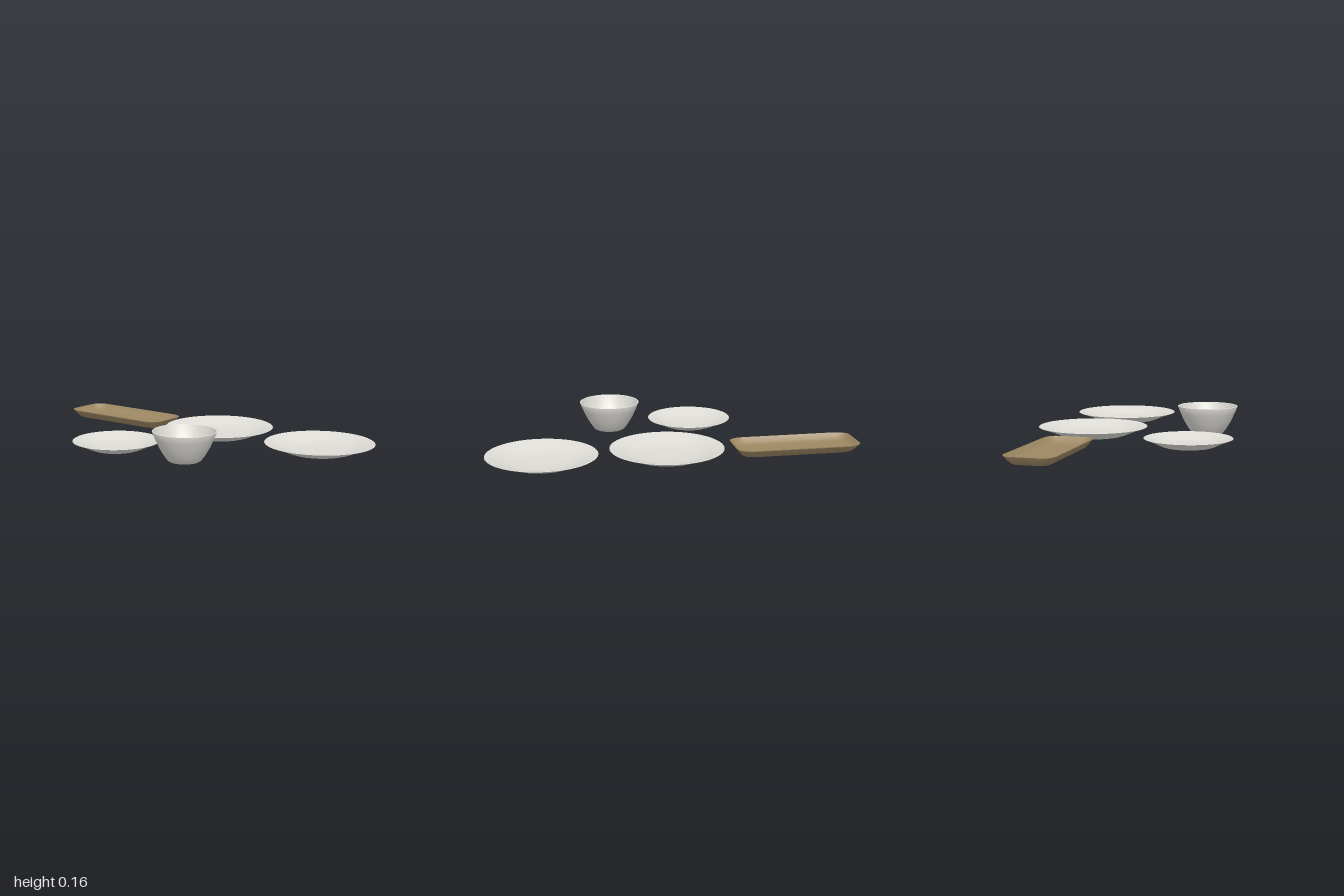
import * as THREE from 'three';
import { toCreasedNormals } from 'three/addons/utils/BufferGeometryUtils.js';

const ceramic = new THREE.MeshStandardMaterial({ color: 0xdddbd5 });
ceramic.name = 'pale ceramic';
const wood = new THREE.MeshStandardMaterial({ color: 0x9c8762 });
wood.name = 'tan wood';

// Turned dish: profile runs from the underside centre, over the rim, to the inside centre
function turned(name, profile, x, z, crease) {
  const pts = profile.map(([r, y]) => new THREE.Vector2(r, y));
  const mesh = new THREE.Mesh(toCreasedNormals(new THREE.LatheGeometry(pts, 64), crease), ceramic);
  mesh.name = name;
  mesh.position.set(x, 0, z);
  return mesh;
}

// Shallow plate with a flat foot and a wide sloping rim
function plate(name, x, z, r, h) {
  return turned(name, [
    [0, 0], [0.56 * r, 0], [0.64 * r, 0.15 * h], [0.8 * r, 0.55 * h], [0.99 * r, 0.93 * h],
    [r, 0.97 * h], [0.992 * r, h],
    [0.8 * r, 0.7 * h], [0.66 * r, 0.4 * h], [0.54 * r, 0.24 * h], [0.3 * r, 0.19 * h], [0, 0.18 * h],
  ], x, z, 0.3);
}

// Rounded-rectangle ring with elliptical corners
function ring(hx, hz, y, rx, rz, steps = 8) {
  const pts = [];
  [[1, 1], [-1, 1], [-1, -1], [1, -1]].forEach(([sx, sz], q) => {
    for (let i = 0; i <= steps; i++) {
      const a = (q + i / steps) * Math.PI / 2;
      pts.push([sx * (hx - rx) + rx * Math.cos(a), y, sz * (hz - rz) + rz * Math.sin(a)]);
    }
  });
  return pts;
}

// Skin stacked rings, closing the first and last at their centres
function loft(rings) {
  const n = rings[0].length;
  const pos = rings.flat(2);
  const idx = [];
  for (let k = 0; k < rings.length - 1; k++) {
    for (let i = 0; i < n; i++) {
      const a = k * n + i, b = k * n + (i + 1) % n;
      idx.push(a, a + n, b, b, a + n, b + n);
    }
  }
  const bottom = rings.length * n, top = bottom + 1, last = (rings.length - 1) * n;
  pos.push(0, rings[0][0][1], 0, 0, rings[rings.length - 1][0][1], 0);
  for (let i = 0; i < n; i++) {
    const j = (i + 1) % n;
    idx.push(bottom, i, j, top, last + j, last + i);
  }
  const g = new THREE.BufferGeometry();
  g.setAttribute('position', new THREE.Float32BufferAttribute(pos, 3));
  g.setIndex(idx);
  return toCreasedNormals(g, 0.45);
}

export function createModel() {
  const group = new THREE.Group();
  group.name = 'tableware set';

  // Plates
  group.add(plate('dinnerPlate', 0.043, -0.272, 0.305, 0.052));
  group.add(plate('lunchPlate', 0.705, -0.272, 0.295, 0.05));
  group.add(plate('sidePlate', -0.2, 0.336, 0.237, 0.046));

  // Bowl
  group.add(turned('bowl', [
    [0, 0], [0.078, 0], [0.088, 0.006], [0.109, 0.035], [0.134, 0.078], [0.153, 0.12], [0.168, 0.156],
    [0.168, 0.159], [0.165, 0.161], [0.161, 0.159],
    [0.147, 0.122], [0.128, 0.082], [0.103, 0.045], [0.078, 0.024], [0.045, 0.013], [0, 0.01],
  ], 0.266, 0.336, 0.45));

  // Tray with flared sides
  const tray = new THREE.Mesh(loft([
    ring(0.298, 0.097, 0, 0.06, 0.04),
    ring(0.308, 0.105, 0.005, 0.065, 0.045),
    ring(0.338, 0.134, 0.04, 0.08, 0.055),
    ring(0.34, 0.135, 0.045, 0.08, 0.055),
    ring(0.334, 0.13, 0.046, 0.078, 0.053),
    ring(0.315, 0.112, 0.022, 0.07, 0.048),
    ring(0.298, 0.097, 0.013, 0.06, 0.04),
    ring(0.25, 0.07, 0.01, 0.05, 0.03),
  ]), wood);
  tray.name = 'tray';
  tray.position.set(-0.66, 0, -0.27);
  group.add(tray);

  return group;
}
